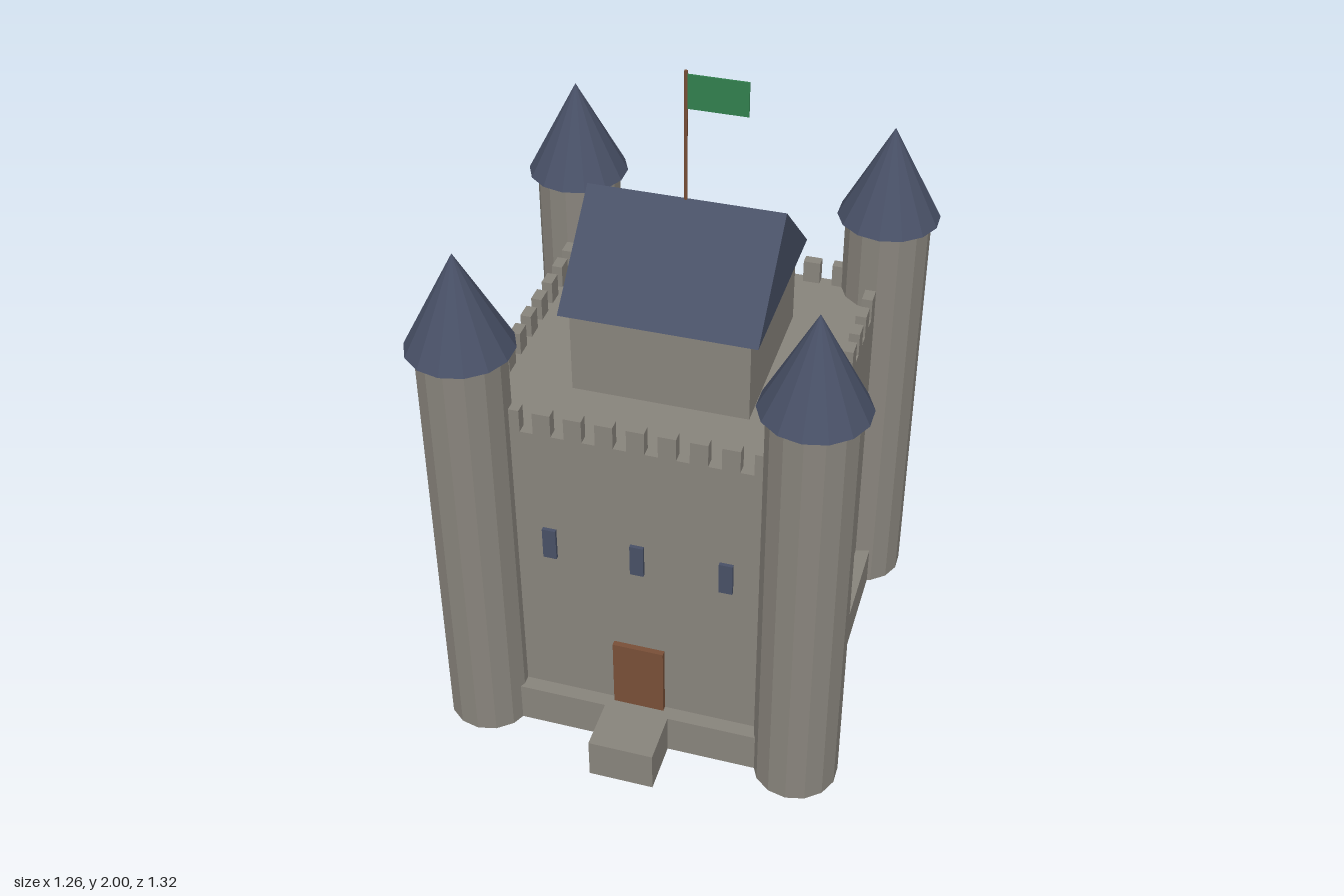
import * as THREE from 'three';

const material = (name, color) => {
  const m = new THREE.MeshStandardMaterial({ color, flatShading: true });
  m.name = name;
  return m;
};

export function createModel() {
  const stone = material('stone', 0x88847c);
  const slate = material('slate', 0x485066);
  const wood = material('wood', 0x784f37);
  const cloth = material('flagGreen', 0x327f4e);

  const model = new THREE.Group();
  model.name = 'castle';
  const castle = new THREE.Group(); // everything is centred on the keep
  castle.name = 'castleBody';
  castle.position.z = -0.024;
  model.add(castle);

  const add = (name, geometry, mat, x, y, z) => {
    const mesh = new THREE.Mesh(geometry, mat);
    mesh.name = name;
    mesh.position.set(x, y, z);
    castle.add(mesh);
    return mesh;
  };
  // Box given by its centre in x and z, and its bottom in y
  const box = (name, mat, w, h, d, x, y, z) =>
    add(name, new THREE.BoxGeometry(w, h, d), mat, x, y + h / 2, z);

  const HALF = 0.484, TOP = 1.1, BASE = 0.132, SIDES = 14;

  // Plinth, walls and front step
  box('plinth', stone, 1.056, BASE, 1.056, 0, 0, 0);
  box('walls', stone, HALF * 2, TOP - BASE, HALF * 2, 0, BASE, 0);
  box('frontStep', stone, 0.196, BASE, 0.156, 0, 0, 0.606);

  // Corner towers with cone roofs
  for (const sx of [-1, 1]) for (const sz of [-1, 1]) {
    add('tower', new THREE.CylinderGeometry(0.127, 0.127, 1.36, SIDES), stone, sx * HALF, 0.68, sz * HALF);
    add('towerRoof', new THREE.ConeGeometry(0.152, 0.29, SIDES), slate, sx * HALF, 1.505, sz * HALF);
  }

  // Battlements along the wall tops
  const edge = HALF - 0.016;
  for (const side of [-1, 1]) {
    for (let i = -4; i <= 4; i++) {
      box('merlon', stone, 0.051, 0.071, 0.032, i * 0.089, TOP, side * edge);
    }
    for (let i = 1; i <= 10; i++) {
      box('merlon', stone, 0.032, 0.071, 0.051, side * edge, TOP, HALF - i * 0.0903);
    }
  }

  // Keep with a gabled roof, ridge along x
  box('keep', stone, 0.514, 0.26, 0.514, 0, TOP, 0);
  const R = 0.283;
  const gable = new THREE.Shape([
    new THREE.Vector2(-R, 0), new THREE.Vector2(R, 0), new THREE.Vector2(0, 0.256),
  ]);
  const roof = new THREE.ExtrudeGeometry(gable, { depth: R * 2, bevelEnabled: false });
  roof.translate(0, 0, -R).rotateY(Math.PI / 2);
  add('keepRoof', roof, slate, 0, 1.36, 0);

  // Door and windows on the front wall
  box('door', wood, 0.154, 0.368 - BASE, 0.03, 0, BASE, HALF + 0.002);
  for (const x of [-0.26, 0, 0.26]) {
    box('window', slate, 0.04, 0.104, 0.02, x, 0.661, HALF + 0.001);
  }

  // Flag and pole
  add('flagPole', new THREE.CylinderGeometry(0.005, 0.005, 0.4, 6), wood, 0, 1.8, 0);
  box('flag', cloth, 0.17, 0.1, 0.005, 0.087, 1.89, 0);

  return model;
}
